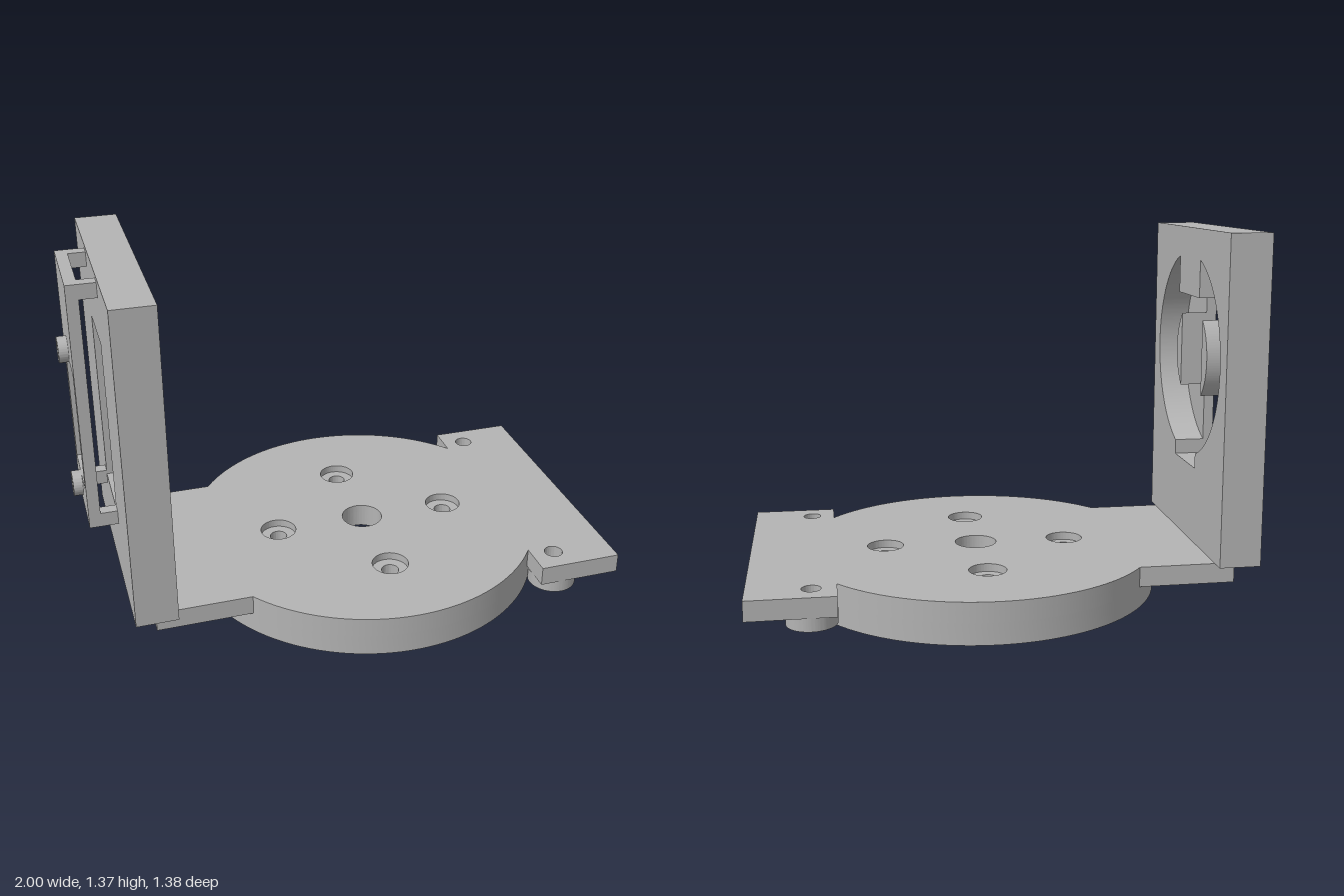
import * as THREE from 'three';
import { toCreasedNormals } from 'three/addons/utils/BufferGeometryUtils.js';

const CX = 0.135;      // turntable centre in x
const R = 0.69;        // turntable radius
const WY = 0.88;       // centre height of the wall recess

export function createModel() {
  const model = new THREE.Group();
  const grey = new THREE.MeshStandardMaterial({ color: 0xb4b4b4 });
  grey.name = 'plain grey';

  // --- helpers ---
  const circle = (x, y, r, S = THREE.Path) => new S().absarc(x, y, r, 0, Math.PI * 2, false);
  const poly = (pts, S = THREE.Path) => new S().setFromPoints(pts.map(([x, y]) => new THREE.Vector2(x, y)));
  const rect = (x0, y0, x1, y1, S) => poly([[x0, y0], [x1, y0], [x1, y1], [x0, y1], [x0, y0]], S);
  const hex = (x, y, r) => poly([0, 1, 2, 3, 4, 5, 6].map((i) =>
    [x + r * Math.cos(i * Math.PI / 3), y + r * Math.sin(i * Math.PI / 3)]));

  function extrude(name, shape, holes, depth, parent) {
    shape.holes.push(...holes);
    const raw = new THREE.ExtrudeGeometry(shape, { depth, bevelEnabled: false, curveSegments: 64 });
    const mesh = new THREE.Mesh(toCreasedNormals(raw, 0.5), grey);
    mesh.name = name;
    parent.add(mesh);
    return mesh.geometry;
  }
  // horizontal layer between heights y0 and y1
  const layer = (name, shape, holes, y0, y1, parent) =>
    extrude(name, shape, holes, y1 - y0, parent).rotateX(-Math.PI / 2).translate(0, y0, 0);
  // upright layer between x0 and x1, drawn in (z, y)
  const upright = (name, shape, holes, x0, x1, parent) =>
    extrude(name, shape, holes, x1 - x0, parent).rotateY(Math.PI / 2).translate(x0, 0, 0);

  function box(name, x0, x1, y0, y1, z0, z1, parent) {
    const mesh = new THREE.Mesh(new THREE.BoxGeometry(x1 - x0, y1 - y0, z1 - z0), grey);
    mesh.position.set((x0 + x1) / 2, (y0 + y1) / 2, (z0 + z1) / 2);
    mesh.name = name;
    parent.add(mesh);
  }

  // --- base: disc, tail and cross tab in one outline ---
  const base = new THREE.Group();
  base.name = 'base';
  model.add(base);

  const outline = () => {
    const a = Math.asin(0.41 / R);
    const b = Math.acos((0.68 - CX) / R);
    const s = new THREE.Shape();
    s.moveTo(-0.78, 0.41);
    s.lineTo(-0.78, -0.41);
    s.absarc(CX, 0, R, Math.PI + a, Math.PI * 2 - b, false);
    s.lineTo(0.68, -0.555);
    s.lineTo(1, -0.555);
    s.lineTo(1, 0.555);
    s.lineTo(0.68, 0.555);
    s.absarc(CX, 0, R, b, Math.PI - a, false);
    s.closePath();
    return s;
  };
  const baseHoles = (r) => [
    circle(CX, 0, 0.08),
    ...[0, 1, 2, 3].map((i) =>
      circle(CX + 0.352 * Math.cos(i * Math.PI / 2), 0.352 * Math.sin(i * Math.PI / 2), r)),
    ...[-1, 1].map((s) => circle(0.77, s * 0.46, 0.035)),
  ];
  layer('basePlateTop', outline(), baseHoles(0.07), 0.125, 0.155, base);
  layer('basePlateBottom', outline(), baseHoles(0.033), 0.08, 0.125, base);
  layer('baseRim', circle(CX, 0, R, THREE.Shape), [circle(CX, 0, 0.635)], 0, 0.08, base);

  // hub under the base with a five-armed socket
  const star = [];
  for (let i = 0; i < 5; i++) {
    const a = i * Math.PI * 0.4;
    const at = (r, w) => [CX + r * Math.cos(a) - w * Math.sin(a), r * Math.sin(a) + w * Math.cos(a)];
    star.push(at(0.24, -0.03), at(0.24, 0.03));
    star.push([CX + 0.082 * Math.cos(a + Math.PI / 5), 0.082 * Math.sin(a + Math.PI / 5)]);
  }
  star.push(star[0]);
  layer('hubSocket', circle(CX, 0, 0.313, THREE.Shape), [poly(star)], 0.02, 0.06, base);
  layer('hubRoot', circle(CX, 0, 0.313, THREE.Shape), [circle(CX, 0, 0.08)], 0.06, 0.08, base);

  // nut holders under the tab
  for (const s of [-1, 1]) {
    layer('tabNutHolder', circle(0.77, s * 0.46, 0.092, THREE.Shape),
      [hex(0.77, s * 0.46, 0.06)], 0.03, 0.08, base);
  }

  // --- upright wall with round recess and window ---
  const wall = new THREE.Group();
  wall.name = 'wall';
  model.add(wall);

  const W = 0.13;
  const c = Math.acos(W / 0.395);
  const recess = new THREE.Path();
  recess.absarc(0, WY, 0.395, -c, c, false);
  recess.lineTo(W, 1.11);
  recess.lineTo(-W, 1.11);
  recess.absarc(0, WY, 0.395, Math.PI - c, Math.PI + c, false);
  recess.lineTo(-W, 0.45);
  recess.lineTo(W, 0.45);
  recess.closePath();
  const wallShape = () => rect(-0.468, 0.155, 0.468, 1.37, THREE.Shape);
  upright('wallFront', wallShape(), [recess], -0.82, -0.705, wall);
  upright('wallBack', wallShape(), [rect(-W, 0.45, W, 1.11)], -0.86, -0.82, wall);
  box('wallFootLedge', -0.82, -0.75, 0.14, 0.155, -0.41, 0.41, wall);

  // two halves of the round boss beside the window
  const d = Math.acos(W / 0.195);
  for (const start of [-d, Math.PI - d]) {
    const half = new THREE.Shape();
    half.absarc(0, WY, 0.195, start, start + 2 * d, false);
    half.closePath();
    upright('recessBoss', half, [], -0.82, -0.72, wall);
  }

  // --- bracket behind the wall ---
  const bracket = new THREE.Group();
  bracket.name = 'bracket';
  model.add(bracket);

  const screws = [0.505, 1.05];
  upright('bracketPlate', rect(-0.175, 0.41, 0.175, 1.353, THREE.Shape),
    [rect(-W, 0.55, W, 1.01), ...screws.map((y) => circle(0, y, 0.02))], -0.965, -0.922, bracket);
  for (const y of [0.41, 1.298]) {
    for (const z of [-0.175, 0.13]) {
      box('bracketLeg', -0.922, -0.86, y, y + 0.055, z, z + 0.045, bracket);
    }
  }
  for (const y of screws) {
    upright('bracketNutHolder', circle(0, y, 0.047, THREE.Shape), [hex(0, y, 0.033)], -1, -0.965, bracket);
  }

  return model;
}
